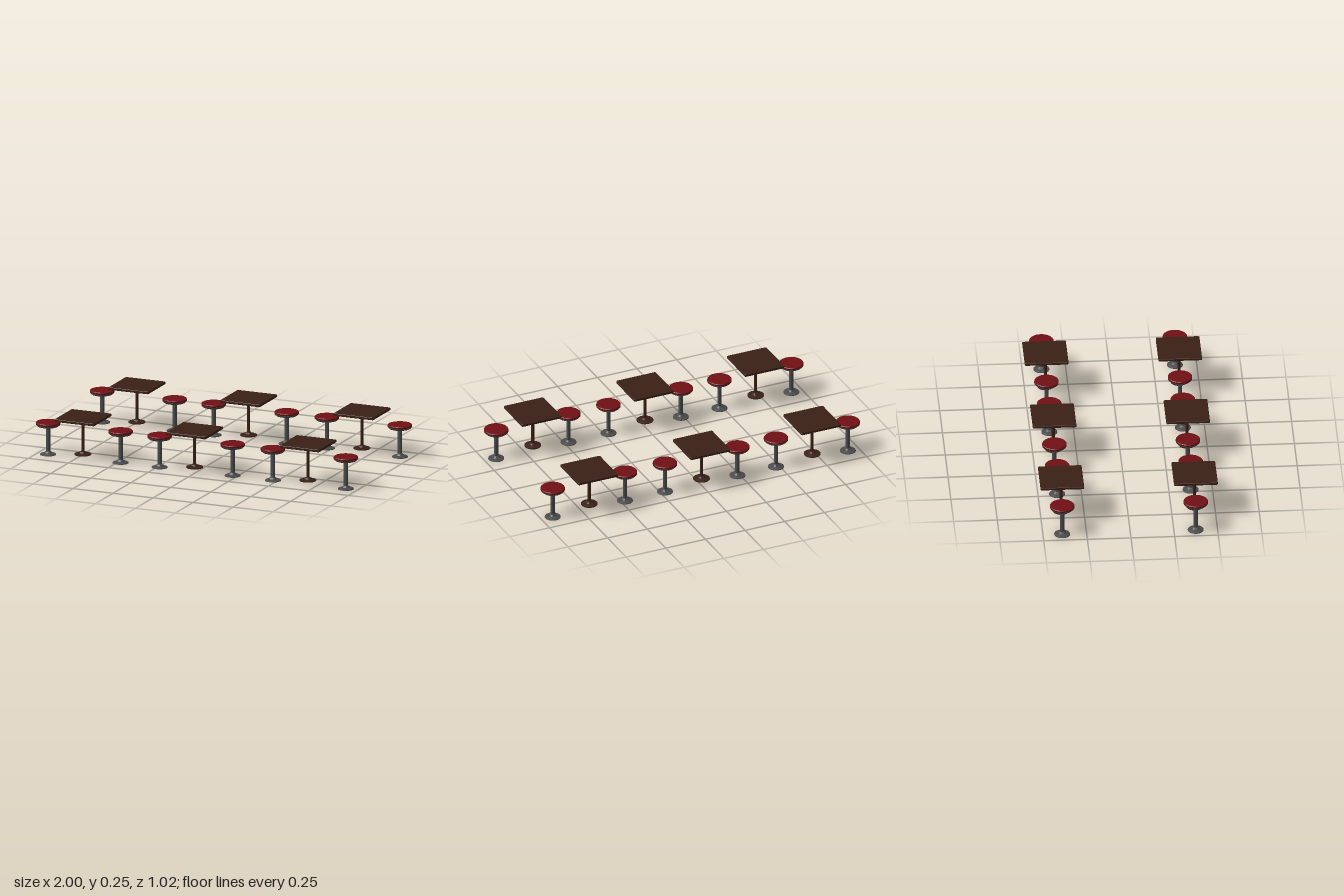
import * as THREE from 'three';
import { toCreasedNormals } from 'three/addons/utils/BufferGeometryUtils.js';

const material = (color) => new THREE.MeshStandardMaterial({ color });
const wood = material(0x3a2016);
const vinyl = material(0x701015);
const metal = material(0x4a4a4c);

// Solid of revolution from [radius, height] pairs, bottom to top
function turned(points) {
  const profile = points.map(([r, y]) => new THREE.Vector2(r, y));
  return toCreasedNormals(new THREE.LatheGeometry(profile, 32), 0.6);
}

// Square top with slightly rounded corners and softened edges
function tableTopGeometry(half, r, bottom, top) {
  const bevel = 0.002, h = half - bevel;
  const s = new THREE.Shape();
  s.absarc(h - r, h - r, r, 0, Math.PI / 2);
  s.absarc(-h + r, h - r, r, Math.PI / 2, Math.PI);
  s.absarc(-h + r, -h + r, r, Math.PI, Math.PI * 1.5);
  s.absarc(h - r, -h + r, r, Math.PI * 1.5, Math.PI * 2);
  const geo = new THREE.ExtrudeGeometry(s, {
    depth: top - bottom - 2 * bevel, bevelThickness: bevel, bevelSize: bevel, bevelSegments: 1, curveSegments: 4,
  });
  return geo.rotateX(-Math.PI / 2).translate(0, bottom + bevel, 0);
}

const geometries = {
  tableTop: tableTopGeometry(0.125, 0.006, 0.236, 0.251),
  // Foot disc, post and mounting plate
  tablePedestal: turned([
    [0, 0.026], [0.048, 0.026], [0.048, 0.031], [0.022, 0.038], [0.017, 0.044], [0.009, 0.047],
    [0.009, 0.229], [0.024, 0.23], [0.024, 0.237], [0, 0.237],
  ]),
  // Foot disc, post and collar below the seat
  stoolPedestal: turned([
    [0, 0], [0.046, 0], [0.045, 0.004], [0.033, 0.009], [0.022, 0.011], [0.018, 0.017], [0.0125, 0.021],
    [0.0125, 0.16], [0.019, 0.166], [0.019, 0.172], [0, 0.172],
  ]),
  seatPan: turned([[0, 0.169], [0.06, 0.169], [0.064, 0.172], [0.07, 0.178], [0.07, 0.181], [0, 0.181]]),
  seatCushion: turned([
    [0.068, 0.18], [0.07, 0.183], [0.07, 0.19], [0.067, 0.193], [0.045, 0.1945], [0, 0.195],
  ]),
};

function part(name, mat) {
  const mesh = new THREE.Mesh(geometries[name], mat);
  mesh.name = name;
  return mesh;
}

function placed(name, x, z, ...parts) {
  const group = new THREE.Group();
  group.name = name;
  group.position.set(x, 0, z);
  group.add(...parts);
  return group;
}

export function createModel() {
  const model = new THREE.Group();
  model.name = 'diningSets';
  const rows = [{ table: 0.383, stool: 0.375 }, { table: -0.382, stool: -0.39 }];
  const columns = [
    { table: -0.711, stools: [-0.932, -0.479] },
    { table: -0.013, stools: [-0.235, 0.221] },
    { table: 0.695, stools: [0.473, 0.929] },
  ];
  for (const row of rows) {
    for (const col of columns) {
      model.add(placed('table', col.table, row.table, part('tableTop', wood), part('tablePedestal', wood)));
      for (const x of col.stools) {
        model.add(placed('stool', x, row.stool,
          part('stoolPedestal', metal), part('seatPan', metal), part('seatCushion', vinyl)));
      }
    }
  }
  return model;
}
